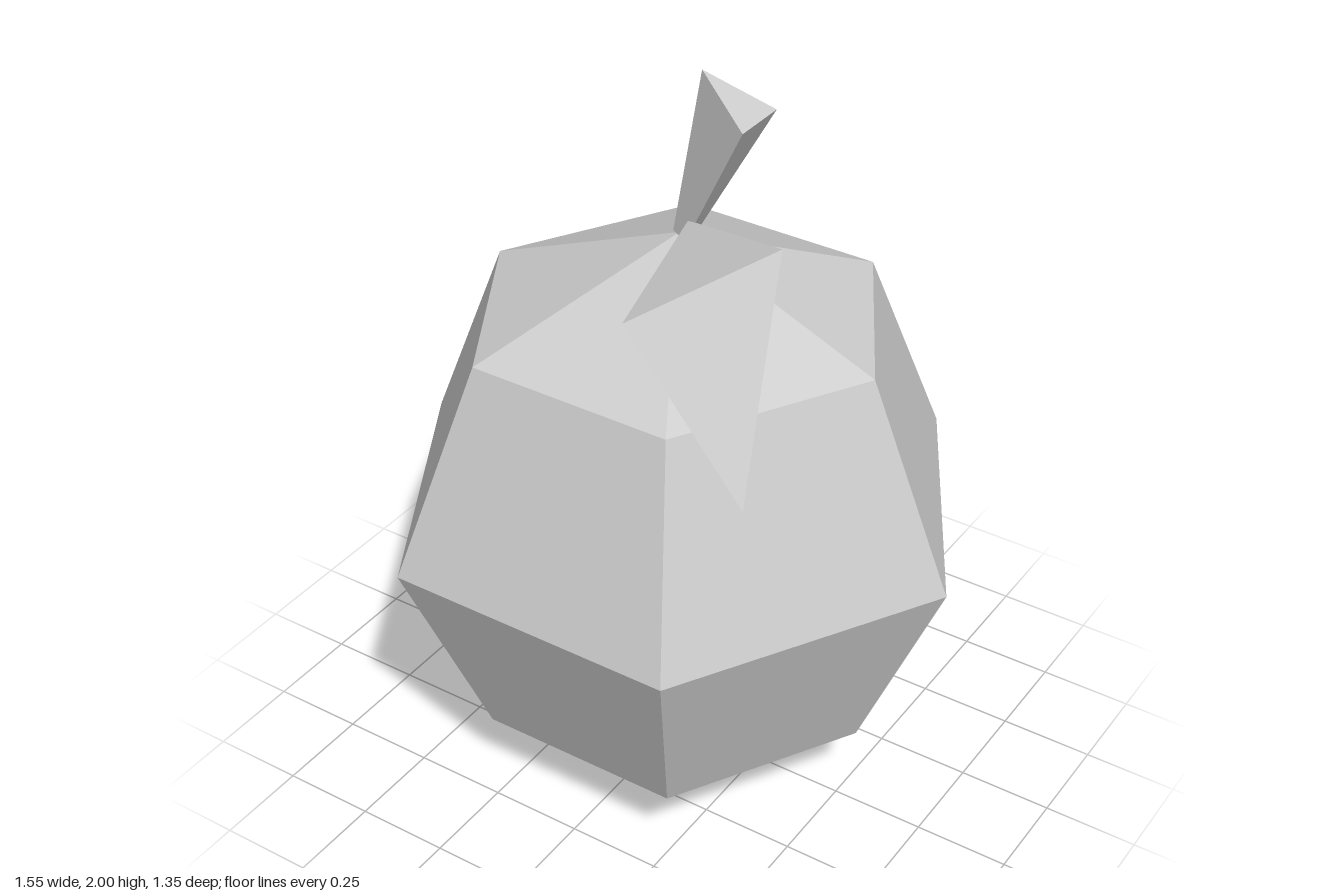
import * as THREE from 'three';

// Faceted geometry from triangles of [x, y, z] corners
function facets(triangles) {
  const geometry = new THREE.BufferGeometry();
  geometry.setAttribute('position', new THREE.Float32BufferAttribute(triangles.flat(2), 3));
  geometry.computeVertexNormals();
  return geometry;
}

// Closed prism between two rings listed counter-clockwise from above
function loft(bottom, top) {
  const triangles = [];
  const n = top.length;
  for (let i = 0; i < n; i++) {
    const j = (i + 1) % n;
    triangles.push([bottom[i], bottom[j], top[j]], [bottom[i], top[j], top[i]]);
  }
  for (let i = 1; i < n - 1; i++) {
    triangles.push([top[0], top[i], top[i + 1]], [bottom[0], bottom[i + 1], bottom[i]]);
  }
  return facets(triangles);
}

export function createModel() {
  const grey = new THREE.MeshStandardMaterial({ color: 0xcccccc, side: THREE.DoubleSide });
  grey.name = 'light grey';

  const group = new THREE.Group();
  group.name = 'fruit';
  const add = (name, geometry) => {
    const mesh = new THREE.Mesh(geometry, grey);
    mesh.name = name;
    group.add(mesh);
    return mesh;
  };

  // Six-sided faceted fruit
  const ball = new THREE.SphereGeometry(0.777, 6, 4).toNonIndexed();
  ball.computeVertexNormals();
  add('fruitBody', ball).position.set(0, 0.778, -0.002);

  // Three-sided stem, leaning right and widening to a slanted top
  add('stem', loft(
    [[-0.017, 1.556, 0], [0.03, 1.546, 0.02], [0.03, 1.546, -0.02]],
    [[0.062, 2, -0.001], [0.219, 1.911, 0.073], [0.219, 1.911, -0.075]],
  ));

  // Folded leaf: rises from the stem, then droops to its tip
  const base = [0.036, 1.606, 0.016];
  const side = [0.13, 1.565, 0.432];
  const crest = [0.406, 1.733, 0.2];
  const tip = [0.604, 1.38, 0.673];
  add('leaf', facets([[base, side, crest], [side, tip, crest]]));

  return group;
}
